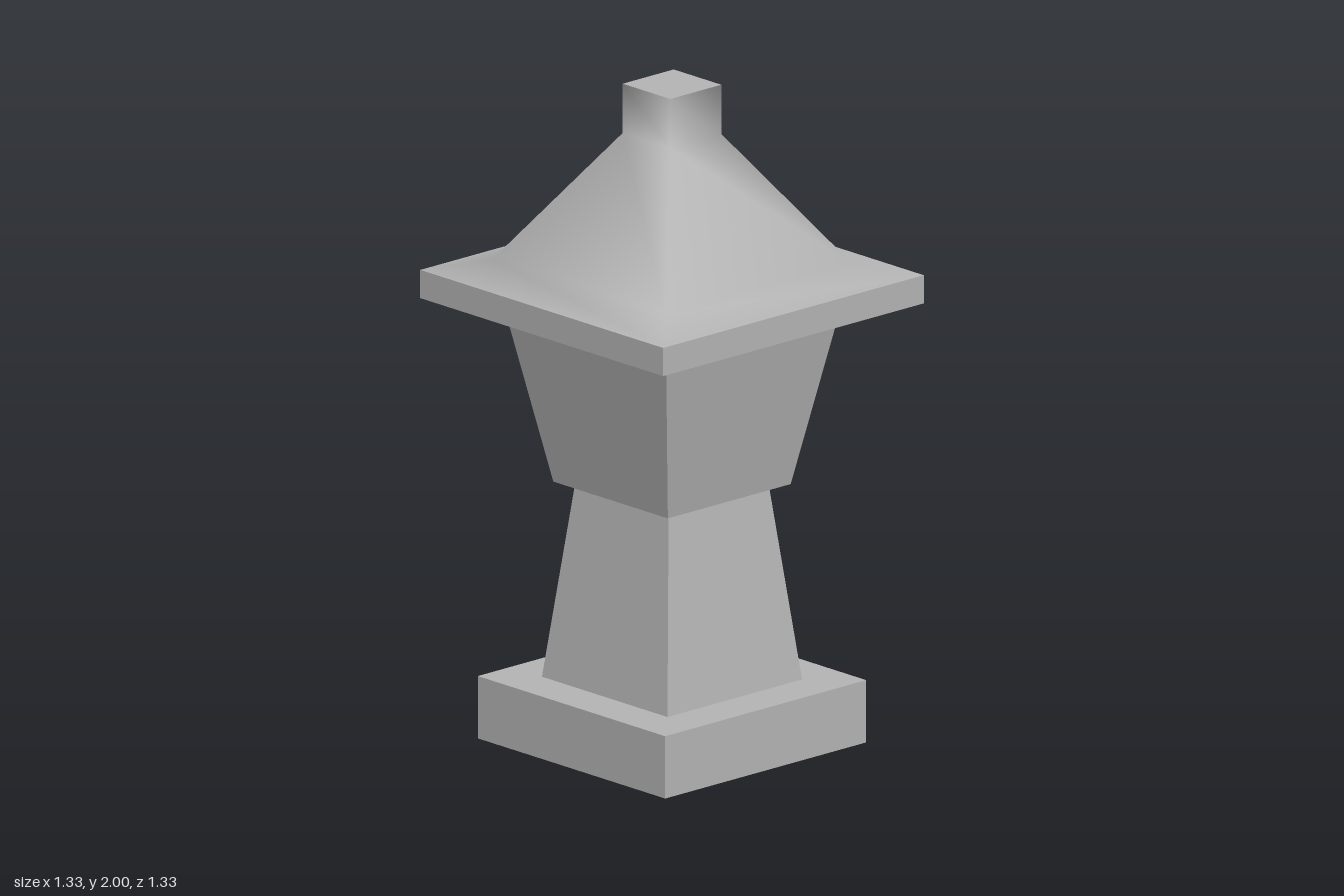
import * as THREE from 'three';

const TURN = THREE.MathUtils.degToRad(25); // direction of the first corner

// Open four-sided shell through [cornerX, y] profile points, lowest first.
function squareShell(profile, smooth, capTop) {
  const pos = [], index = [];
  for (const [x, y] of profile) {
    const r = x / Math.cos(TURN);
    for (let i = 0; i < 4; i++) {
      const t = TURN + i * Math.PI / 2;
      pos.push(r * Math.cos(t), y, r * Math.sin(t));
    }
  }
  for (let k = 0; k < profile.length - 1; k++) {
    for (let i = 0; i < 4; i++) {
      const j = (i + 1) % 4;
      const a = k * 4 + i, b = k * 4 + j, c = b + 4, d = a + 4;
      index.push(a, d, c, a, c, b);
    }
  }
  if (capTop) {
    const t = (profile.length - 1) * 4;
    index.push(t, t + 2, t + 1, t, t + 3, t + 2);
  }
  let geo = new THREE.BufferGeometry();
  geo.setAttribute('position', new THREE.Float32BufferAttribute(pos, 3));
  geo.setIndex(index);
  if (!smooth) geo = geo.toNonIndexed();
  geo.computeVertexNormals();
  return geo;
}

export function createModel() {
  const group = new THREE.Group();
  group.name = 'stoneLantern';
  const stone = new THREE.MeshStandardMaterial({ color: 0xb5b5b5, side: THREE.DoubleSide });
  stone.name = 'grey stone';

  const add = (name, profile, smooth = false, capTop = false) => {
    const mesh = new THREE.Mesh(squareShell(profile, smooth, capTop), stone);
    mesh.name = name;
    group.add(mesh);
  };

  // Hollow plinth, open underneath, with a ledge up to the pedestal
  add('base', [[0.512, 0], [0.512, 0.19], [0.343, 0.19]]);
  // Tapering pedestal
  add('pedestal', [[0.343, 0.19], [0.257, 0.77]]);
  // Lamp housing flaring upwards from a narrow lip
  add('lampHousing', [[0.257, 0.77], [0.313, 0.785], [0.449, 1.34]]);
  // Roof underside and rim
  add('roofRim', [[0.449, 1.34], [0.664, 1.34], [0.664, 1.426]]);
  // Softly shaded roof slopes running up into the neck
  add('roof', [[0.664, 1.426], [0.472, 1.463], [0.13, 1.85], [0.13, 2]], true);
  // Flat top of the neck
  add('finialTop', [[0.13, 2]], false, true);
  return group;
}
